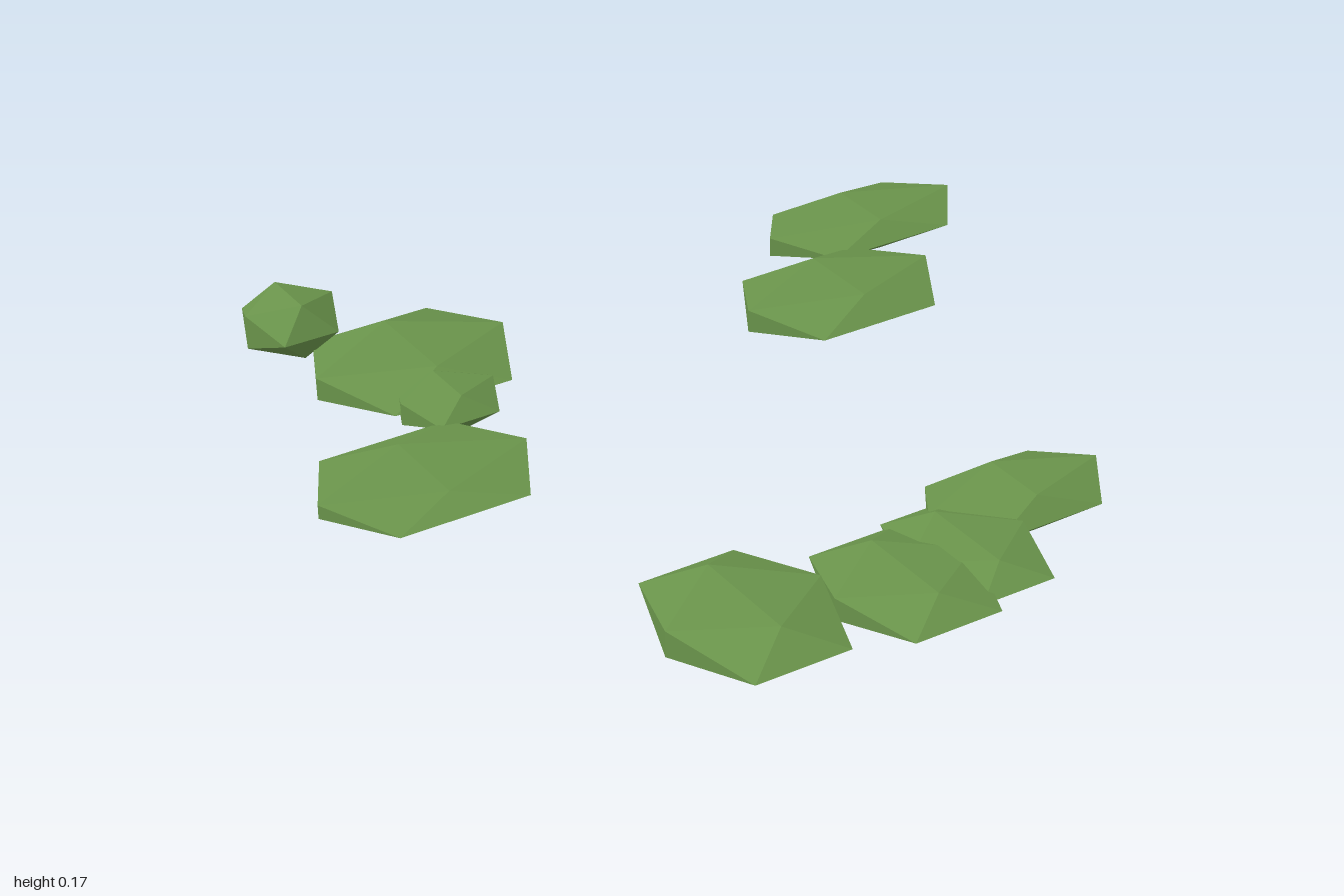
import * as THREE from 'three';

export function createModel() {
  const group = new THREE.Group();
  group.name = 'leafClumps';

  const leafGreen = new THREE.MeshStandardMaterial({ color: 0x6a944b });
  leafGreen.name = 'leafGreen';

  // Unit icosahedron turned so its flat ends face front and back, scaled to span -1..1
  const clump = new THREE.IcosahedronGeometry(1, 0).rotateY(Math.PI / 2);
  clump.computeBoundingBox();
  const k = 1 / clump.boundingBox.max.x;
  clump.scale(k, k, k);
  // Crisp facets: one normal per triangle
  clump.computeVertexNormals();

  // name, centre x y z, half sizes x y z
  const parts = [
    // back right group
    ['rightPad', -0.746, 0.05, -0.145, 0.254, 0.027, 0.186],
    ['backRightPad', -0.525, 0.05, -0.614, 0.24, 0.045, 0.203],
    ['raisedBud', -0.711, 0.104, -0.848, 0.11, 0.068, 0.111],
    ['lowBud', -0.542, 0.05, -0.411, 0.117, 0.044, 0.107],
    // back left group
    ['backLeftPad', 0.73, 0.052, -0.63, 0.265, 0.038, 0.14],
    ['leftPad', 0.473, 0.05, -0.35, 0.253, 0.045, 0.174],
    // front group
    ['frontRightPad', -0.461, 0.05, 0.677, 0.187, 0.05, 0.218],
    ['frontMiddlePad', -0.122, 0.05, 0.757, 0.173, 0.042, 0.191],
    ['frontInnerPad', 0.057, 0.05, 0.727, 0.147, 0.038, 0.182],
    ['frontLeftPad', 0.269, 0.052, 0.606, 0.222, 0.043, 0.131],
  ];

  for (const [name, x, y, z, sx, sy, sz] of parts) {
    const mesh = new THREE.Mesh(clump, leafGreen);
    mesh.name = name;
    mesh.position.set(x, y, z);
    mesh.scale.set(sx, sy, sz);
    group.add(mesh);
  }
  return group;
}
